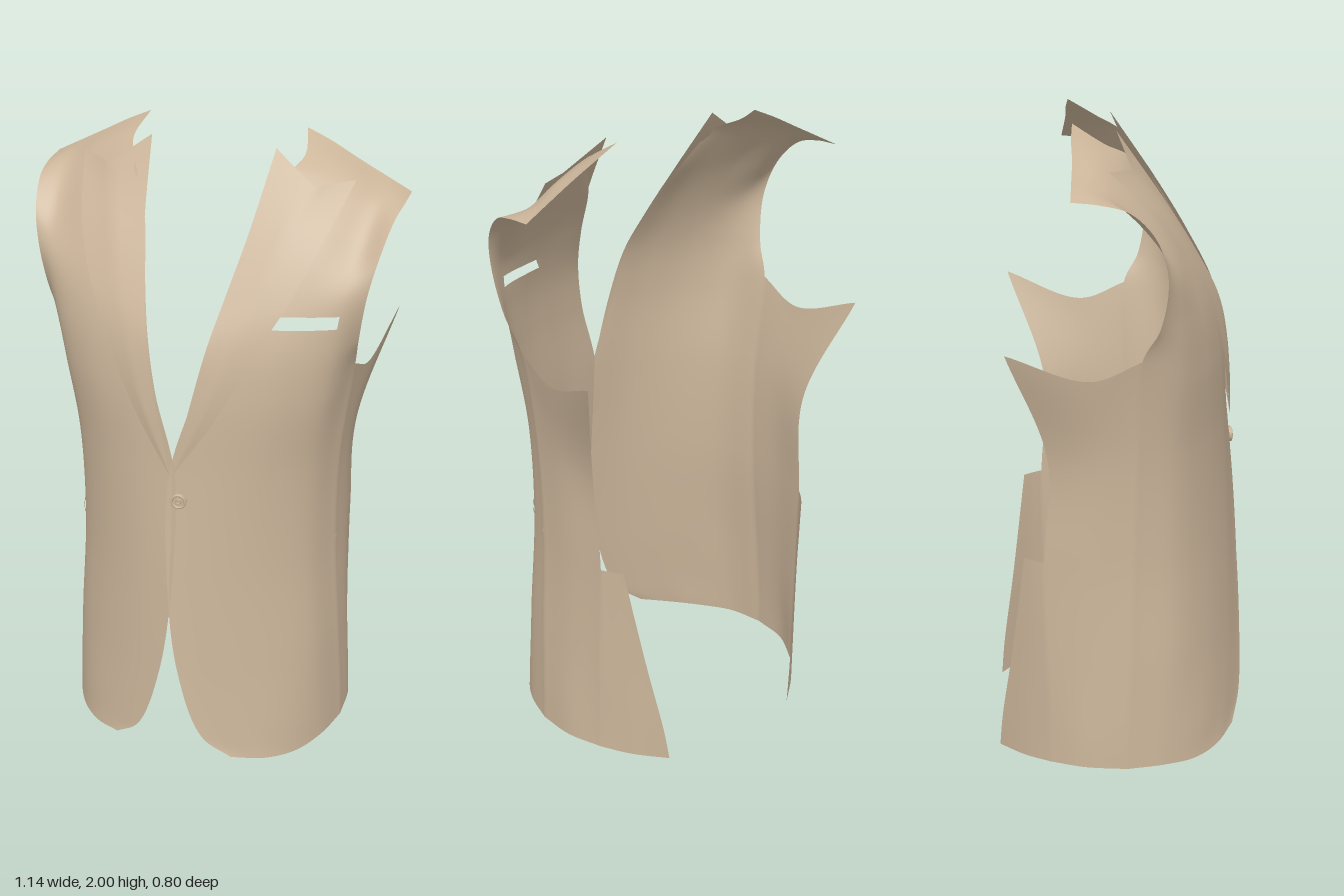
import * as THREE from 'three';
import { mergeGeometries, mergeVertices } from 'three/addons/utils/BufferGeometryUtils.js';

const cloth = new THREE.MeshStandardMaterial({ color: 0xcbb59a, side: THREE.DoubleSide });
cloth.name = 'tan cloth';

// A rail is a curve running up the garment; at(k) gives the point at row k.
const rail = (...pts) => {
  const curve = new THREE.CatmullRomCurve3(pts.map(p => new THREE.Vector3(...p)));
  return { at: k => curve.getPoint(k / (pts.length - 1)) };
};

// Rails of the front panel, from the closing edge to the armhole.
const frontEdge = rail([.2, .03, .36], [.11, .11, .39], [.03, .35, .395], [-.01, .7, .375],
  [-.01, 1.03, .345], [.06, 1.29, .32], [.095, 1.45, .285], [.13, 1.6, .212],
  [.165, 1.75, .12], [.235, 1.9, .02], [.27, 1.945, -.06], [.25, 2, -.15]);
const innerChest = rail([.3, .01, .3], [.25, .11, .32], [.18, .35, .335], [.14, .7, .33],
  [.14, 1.03, .315], [.18, 1.29, .295], [.2, 1.45, .265], [.22, 1.6, .205],
  [.255, 1.75, .115], [.3, 1.89, 0], [.325, 1.93, -.07], [.325, 1.965, -.155]);
const midChest = rail([.38, .005, .22], [.355, .11, .24], [.315, .35, .25], [.28, .7, .25],
  [.28, 1.03, .25], [.315, 1.29, .245], [.33, 1.45, .225], [.345, 1.6, .175],
  [.37, 1.75, .085], [.4, 1.855, -.02], [.41, 1.895, -.08], [.41, 1.92, -.155]);
const outerChest = rail([.435, .015, .12], [.425, .11, .135], [.405, .35, .15], [.38, .7, .15],
  [.385, 1.03, .155], [.42, 1.29, .165], [.44, 1.45, .165], [.46, 1.6, .14],
  [.48, 1.72, .06], [.495, 1.82, -.04], [.495, 1.855, -.1], [.495, 1.875, -.16]);
const armhole = rail([.465, .02, 0], [.462, .11, 0], [.45, .35, .01], [.43, .7, .02],
  [.435, 1.03, .03], [.475, 1.35, .04], [.495, 1.45, .09], [.52, 1.6, .11],
  [.545, 1.72, .075], [.562, 1.8, 0], [.57, 1.825, -.08], [.57, 1.835, -.165]);

// Rails of the side panel and of the vent flap behind it.
const underArm = rail([.455, .025, -.13], [.452, .11, -.13], [.44, .35, -.12], [.428, .7, -.11],
  [.435, 1.03, -.09], [.48, 1.295, -.11]);
const backEdge = rail([.405, .02, -.24], [.405, .11, -.24], [.405, .35, -.245], [.402, .7, -.25],
  [.415, 1.03, -.235], [.508, 1.385, -.355]);
const ventMiddle = rail([.34, .01, -.32], [.345, .11, -.315], [.36, .35, -.3], [.383, .7, -.28]);
const ventEdge = rail([.25, 0, -.4], [.265, .11, -.39], [.305, .35, -.355], [.36, .7, -.31]);

// Rails of the lapel, lying just above the chest.
const lapelFold = rail([0, 1.03, .355], [.06, 1.29, .335], [.095, 1.45, .3], [.13, 1.6, .224],
  [.162, 1.75, .132], [.195, 1.97, -.02]);
const lapelMiddle = rail([0, 1.03, .355], [.105, 1.27, .332], [.165, 1.45, .288], [.225, 1.6, .217],
  [.27, 1.75, .126], [.32, 1.88, .018]);
const lapelEdge = rail([0, 1.03, .355], [.14, 1.25, .32], [.24, 1.45, .268], [.32, 1.6, .198],
  [.38, 1.75, .095], [.43, 1.89, -.052]);

const across = rails => (k, u) =>
  new THREE.CatmullRomCurve3(rails.map(r => r.at(k))).getPoint(u);
const frontSurface = across([frontEdge, innerChest, midChest, outerChest, armhole]);
const sideSurface = across([armhole, underArm, backEdge]);
const ventSurface = across([backEdge, ventMiddle, ventEdge]);

// Straight bands between the lapel rails keep the notch crisp.
const lapelSurface = (k, u) => u < .5
  ? lapelFold.at(k).lerp(lapelMiddle.at(k), u * 2)
  : lapelMiddle.at(k).lerp(lapelEdge.at(k), u * 2 - 1);

// Grid over a surface for rows k0..k1 and columns u0..u1; side -1 mirrors it.
function patch(surface, side, [k0, k1], [u0, u1], rows, cols, isHole = () => false) {
  const pos = [], index = [];
  for (let i = 0; i <= rows; i++) {
    for (let j = 0; j <= cols; j++) {
      const p = surface(k0 + (k1 - k0) * i / rows, u0 + (u1 - u0) * j / cols);
      pos.push(p.x * side, p.y, p.z);
    }
  }
  for (let i = 0; i < rows; i++) {
    for (let j = 0; j < cols; j++) {
      if (isHole(k0 + (k1 - k0) * (i + .5) / rows, u0 + (u1 - u0) * (j + .5) / cols)) continue;
      const a = i * (cols + 1) + j, b = a + 1, c = a + cols + 1, d = c + 1;
      if (side > 0) index.push(a, b, d, a, d, c);
      else index.push(a, d, b, a, c, d);
    }
  }
  const g = new THREE.BufferGeometry();
  g.setAttribute('position', new THREE.Float32BufferAttribute(pos, 3));
  g.setIndex(index);
  g.computeVertexNormals();
  return g;
}

// Joins patches into one smooth cloth mesh.
function clothMesh(name, patches) {
  patches.forEach(g => g.deleteAttribute('normal'));
  const g = mergeVertices(mergeGeometries(patches), 1e-4);
  g.computeVertexNormals();
  const mesh = new THREE.Mesh(g, cloth);
  mesh.name = name;
  return mesh;
}

// Lifts a surface slightly outward for applied strips.
const lifted = (surface, amount) => (k, u) => {
  const p = surface(k, u);
  const out = new THREE.Vector3(p.x, 0, p.z).normalize();
  return p.addScaledVector(out, amount);
};

function createHalf(side) {
  const half = new THREE.Group();
  half.name = side > 0 ? 'leftHalf' : 'rightHalf';

  // The breast pocket is an opening on the left chest only.
  const breastPocket = (k, u) => side > 0 && k > 6.37 && k < 6.63 && u > .37 && u < .74;
  half.add(clothMesh('bodyPanel', [
    patch(frontSurface, side, [0, 11], [0, 1], 176, 48, breastPocket),
    patch(sideSurface, side, [0, 5], [0, 1], 80, 24),
    patch(ventSurface, side, [0, 3], [0, 1], 48, 10),
  ]));
  half.add(clothMesh('lapel', [patch(lapelSurface, side, [0, 5], [0, 1], 40, 8)]));

  // Narrow hip pocket welt, running round the hip.
  half.add(clothMesh('hipPocketWelt', [
    patch(lifted(frontSurface, .004), side, [3.08, 3.11], [.5, 1], 1, 20),
    patch(lifted(sideSurface, .004), side, [3.06, 3.09], [0, .5], 1, 10),
  ]));
  return half;
}

function createButton() {
  const button = new THREE.Group();
  button.name = 'button';
  const disc = new THREE.Mesh(new THREE.CylinderGeometry(.024, .024, .008, 24), cloth);
  disc.name = 'buttonDisc';
  disc.rotation.x = Math.PI / 2;
  const rim = new THREE.Mesh(new THREE.TorusGeometry(.021, .004, 8, 24), cloth);
  rim.name = 'buttonRim';
  rim.position.z = .004;
  const centre = new THREE.Mesh(new THREE.TorusGeometry(.008, .002, 6, 16), cloth);
  centre.name = 'buttonCentre';
  centre.position.z = .004;
  button.add(disc, rim, centre);
  button.position.set(.025, .955, .355);
  button.rotation.y = .15;
  return button;
}

export function createModel() {
  const model = new THREE.Group();
  model.name = 'jacketFront';
  model.add(createHalf(1), createHalf(-1), createButton());
  return model;
}
